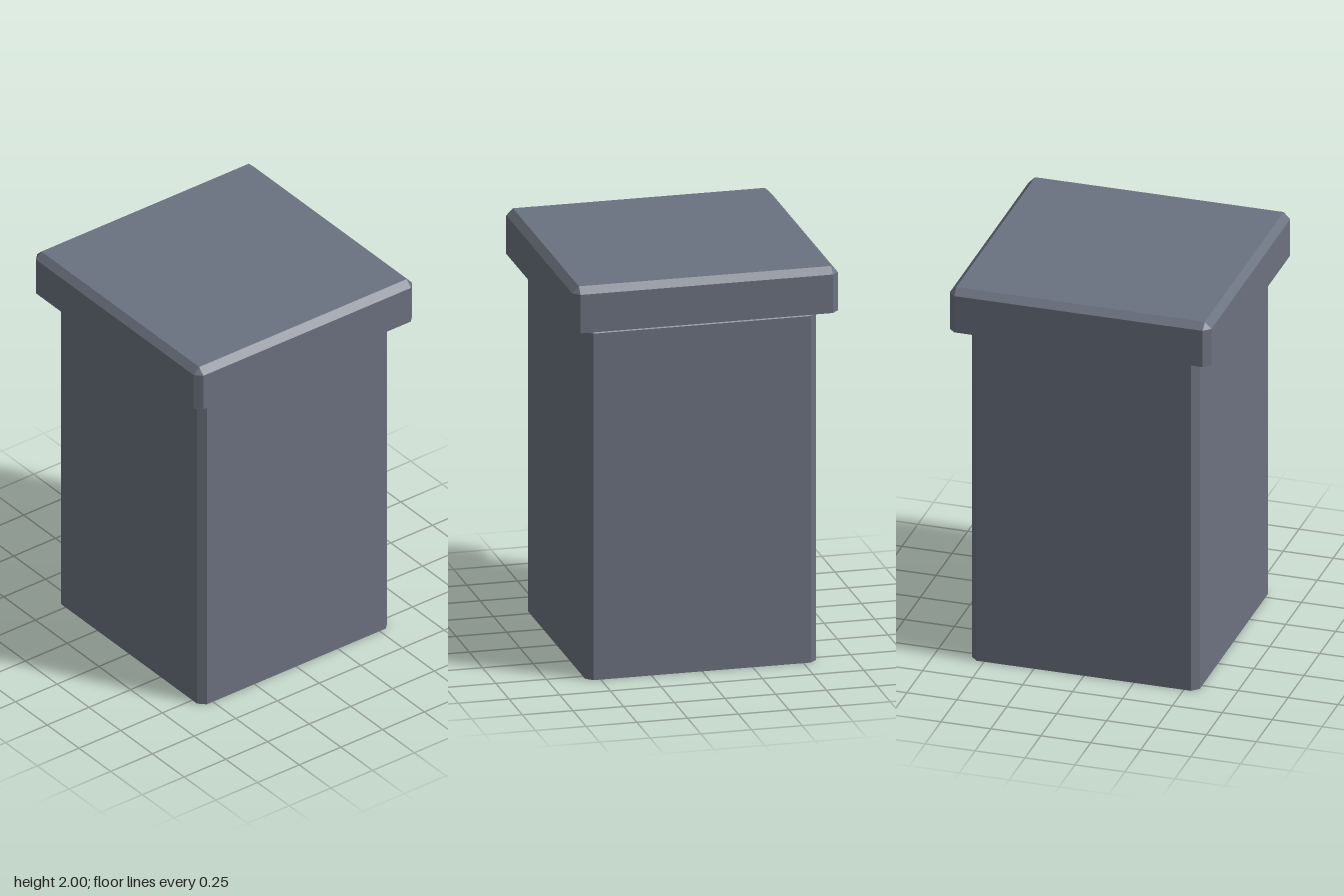
import * as THREE from 'three';

// Eight-cornered ring: square of half-width `half` with its corners cut by `cut`
function ring(half, cut, y) {
  const a = half, b = half - cut;
  return [[b, a], [a, b], [a, -b], [b, -a], [-b, -a], [-a, -b], [-a, b], [-b, a]]
    .map(([x, z]) => new THREE.Vector3(x, y, z));
}

// Chamfered square shell, closed on top and open underneath
function chamferedShell(half, bottom, top, bevel) {
  const rings = [
    ring(half, bevel, bottom),
    ring(half, bevel, top - bevel),
    ring(half - bevel, 0, top),
  ];
  const points = [];
  const triangle = (a, b, c) => {
    const area = b.clone().sub(a).cross(c.clone().sub(a)).length();
    if (area > 1e-8) points.push(a, b, c);
  };
  for (let r = 0; r < 2; r++) {
    const low = rings[r], high = rings[r + 1];
    for (let i = 0; i < 8; i++) {
      const j = (i + 1) % 8;
      triangle(low[i], low[j], high[j]);
      triangle(low[i], high[j], high[i]);
    }
  }
  // Flat top
  const t = rings[2];
  triangle(t[0], t[2], t[4]);
  triangle(t[0], t[4], t[6]);
  const geometry = new THREE.BufferGeometry().setFromPoints(points);
  geometry.computeVertexNormals();
  return geometry;
}

export function createModel() {
  const model = new THREE.Group();
  model.name = 'cappedPillar';

  const stone = new THREE.MeshStandardMaterial({ color: 0x6b7280, side: THREE.DoubleSide });
  stone.name = 'slate grey';

  const add = (name, ...size) => {
    const mesh = new THREE.Mesh(chamferedShell(...size), stone);
    mesh.name = name;
    model.add(mesh);
  };

  add('shaft', 0.57, 0, 1.772, 0.033);
  add('cap', 0.655, 1.774, 2, 0.033);
  return model;
}
